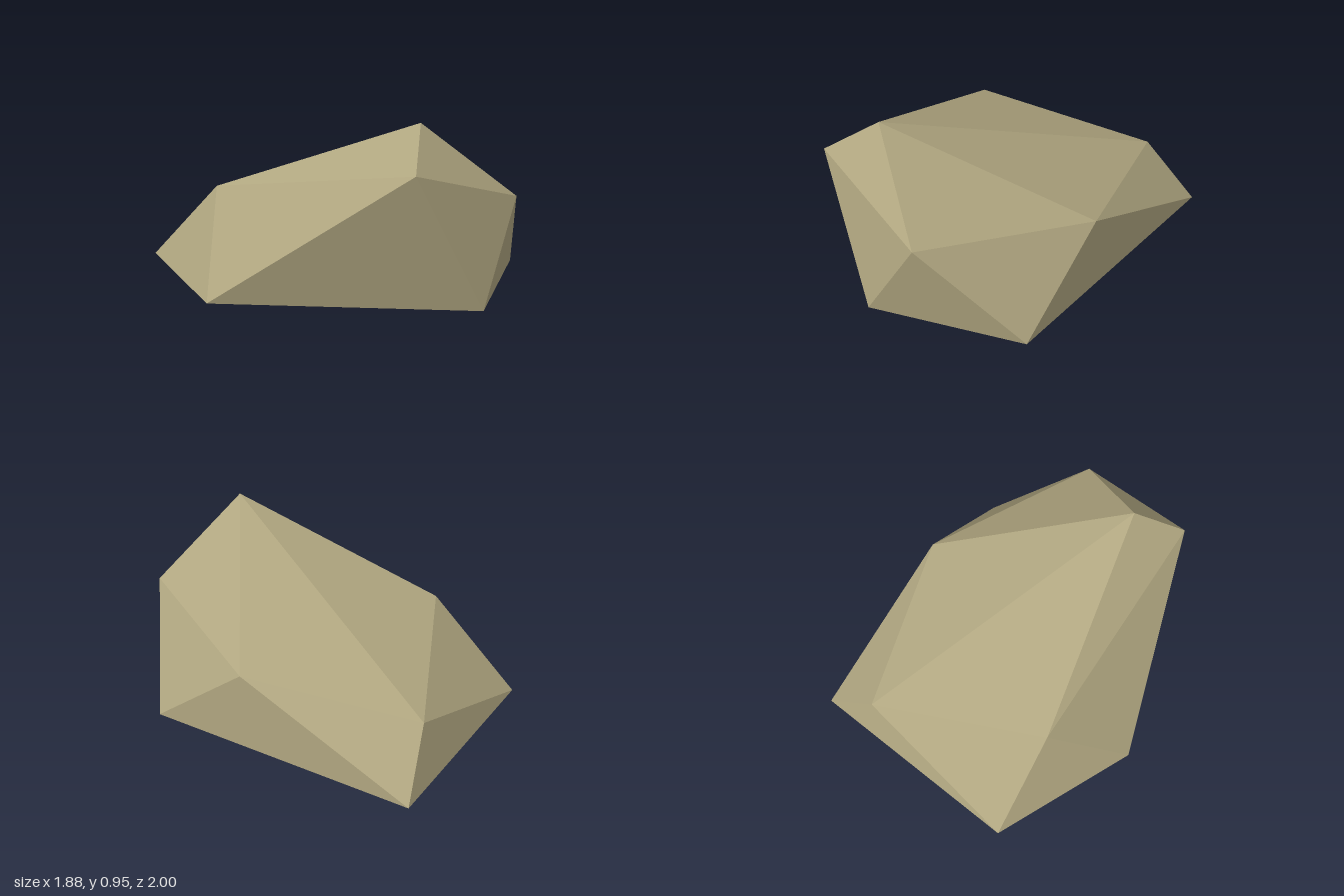
import * as THREE from 'three';
import { ConvexGeometry } from 'three/addons/geometries/ConvexGeometry.js';

export function createModel() {
  const group = new THREE.Group();
  group.name = 'boulder';

  const stone = new THREE.MeshStandardMaterial({ color: 0xb0a680, flatShading: true });
  stone.name = 'sandy stone';

  // Corners around the base
  const base = [
    [0, 0, -1], [-0.94, 0, -0.27], [-0.7, 0.03, 0.52], [0.58, 0.06, 0.88], [0.94, 0.01, 0.16],
  ];
  // Corners of the shoulders, and the peak
  const upper = [
    [-0.17, 0.3, -0.77], [-0.61, 0.48, 0.07], [0.21, 0.78, 1],
    [0.785, 0.55, 0.665], [0.6, 0.43, -0.26], [0.29, 0.95, 0.735],
  ];

  // Faceted rock: the convex skin around all corners
  const corners = [...base, ...upper].map((p) => new THREE.Vector3(...p));
  const rock = new THREE.Mesh(new ConvexGeometry(corners), stone);
  rock.name = 'rock';
  group.add(rock);
  return group;
}
